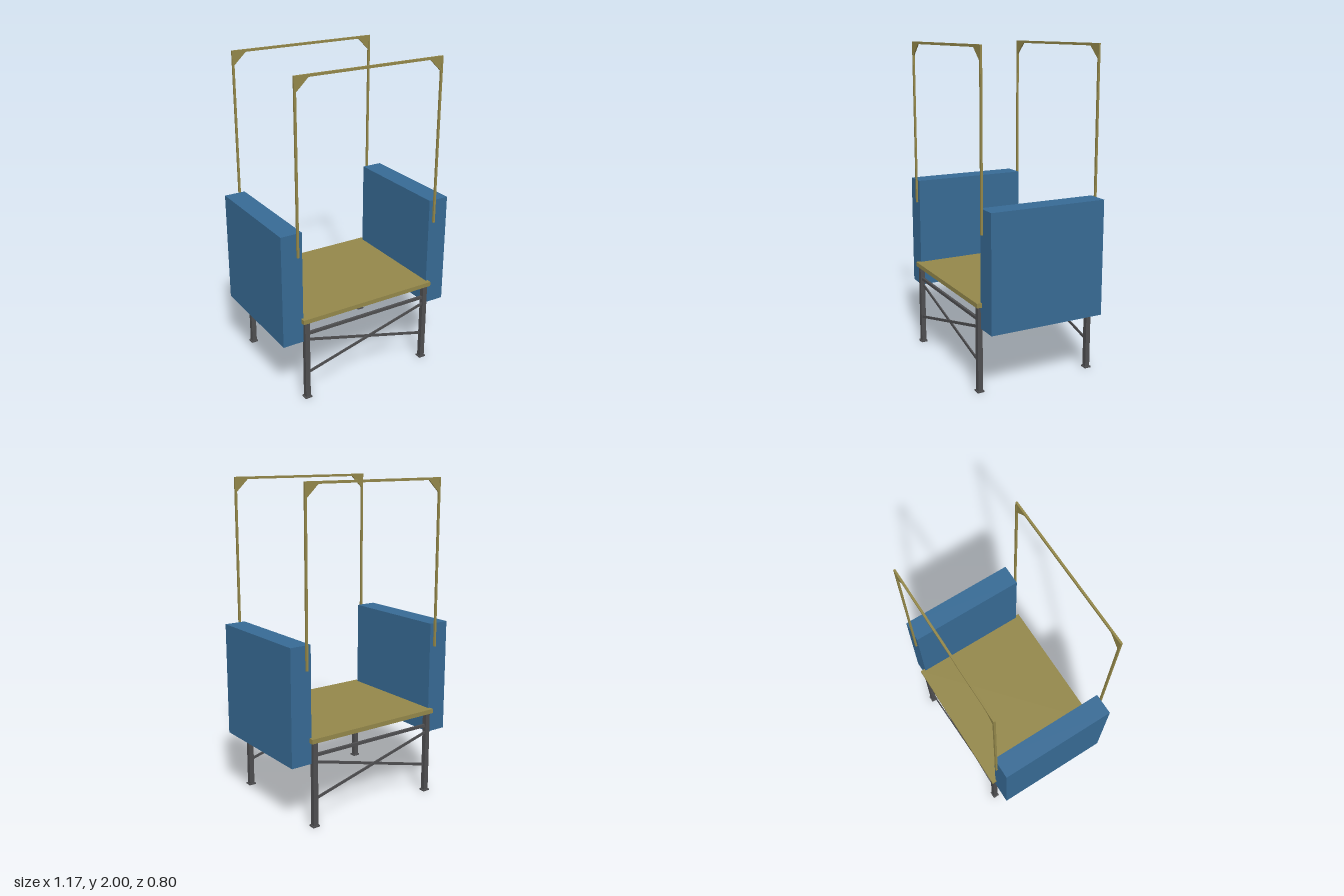
import * as THREE from 'three';

export function createModel() {
  const model = new THREE.Group();
  model.name = 'framedBench';

  const material = (name, color) => {
    const m = new THREE.MeshStandardMaterial({ color });
    m.name = name;
    return m;
  };
  const olive = material('olive', 0x93874a);
  const blue = material('blue', 0x376a94);
  const steel = material('darkSteel', 0x4e4e50);

  const add = (name, geometry, mat, x = 0, y = 0, z = 0) => {
    const mesh = new THREE.Mesh(geometry, mat);
    mesh.name = name;
    mesh.position.set(x, y, z);
    model.add(mesh);
    return mesh;
  };
  const box = (name, mat, w, h, d, x, y, z) =>
    add(name, new THREE.BoxGeometry(w, h, d), mat, x, y, z);

  // Deck
  box('deck', olive, 0.928, 0.028, 0.8, 0, 0.542, 0);

  // Thick side panels
  for (const s of [-1, 1]) box('sidePanel', blue, 0.135, 0.71, 0.74, s * 0.5175, 0.752, 0);

  // Diagonal corner gusset of the upper hoops
  const gusset = new THREE.Shape([
    new THREE.Vector2(0, 0),
    new THREE.Vector2(-0.09, 0),
    new THREE.Vector2(-0.09, -0.015),
    new THREE.Vector2(-0.013, -0.088),
    new THREE.Vector2(0, -0.088),
  ]);
  const gussetGeometry = new THREE.ExtrudeGeometry(gusset, { depth: 0.008, bevelEnabled: false });
  gussetGeometry.translate(0, 0, -0.004);

  // Front and back frames share one layout
  for (const f of [-1, 1]) {
    const legZ = f * 0.373;
    for (const s of [-1, 1]) {
      box('leg', steel, 0.032, 0.52, 0.03, s * 0.433, 0.268, legZ);
      box('footPlate', steel, 0.046, 0.009, 0.042, s * 0.433, 0.0045, legZ);

      // Crossed braces pass side by side
      const brace = box('crossBrace', steel, Math.hypot(0.85, 0.225), 0.016, 0.008,
        0, 0.291, legZ + s * 0.005);
      brace.rotation.z = s * Math.atan2(0.225, 0.85);

      // Hoop posts and gussets
      const hoopZ = f * 0.377;
      box('hoopPost', olive, 0.013, 1.04, 0.012, s * 0.4815, 1.48, hoopZ);
      const corner = add('hoopGusset', gussetGeometry, olive, s * 0.488, 2, hoopZ);
      if (s < 0) corner.rotation.y = Math.PI;
    }
    box('railUnderDeck', steel, 0.85, 0.018, 0.016, 0, 0.447, legZ);
    box('hoopTopBar', olive, 0.976, 0.015, 0.012, 0, 1.9925, f * 0.377);
  }

  return model;
}
